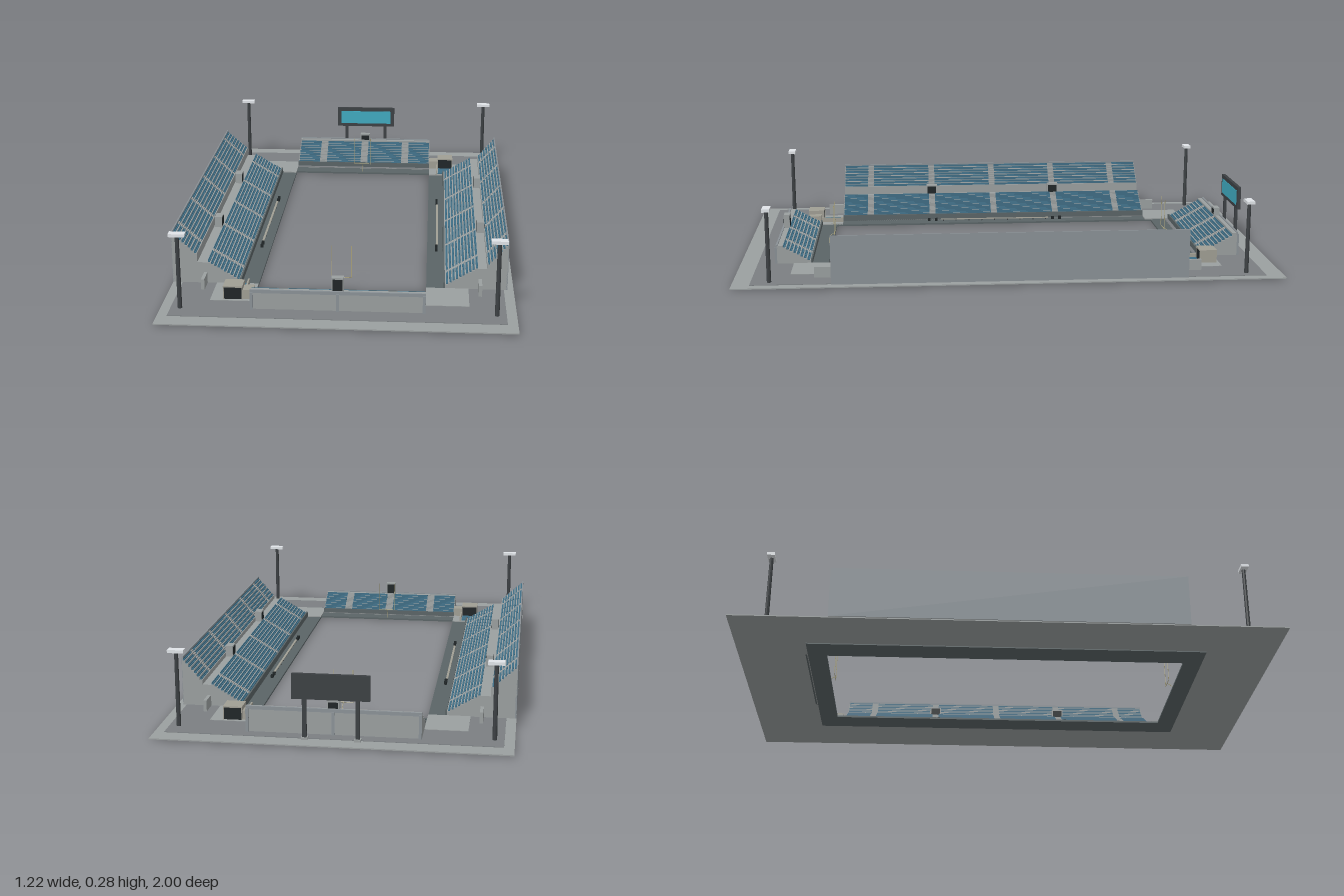
import * as THREE from 'three';
import { mergeGeometries } from 'three/addons/utils/BufferGeometryUtils.js';

const mat = (color) => new THREE.MeshStandardMaterial({ color, flatShading: true });
const M = {
  concrete: mat(0x9a9f9f), wall: mat(0x8a9196), paving: mat(0x7b7f82), track: mat(0x5a6466),
  dark: mat(0x3c4043), seat: mat(0x3f6d85), opening: mat(0x1f2527), beige: mat(0xa09e94),
  lamp: mat(0xe0e4e8), screen: mat(0x3fa9bf), post: mat(0xb0a880),
};

function mesh(parent, name, geometry, material) {
  const m = new THREE.Mesh(geometry, material);
  m.name = name;
  parent.add(m);
  return m;
}

// Box given by its minimum and maximum on each axis
function boxGeo(x0, x1, y0, y1, z0, z1) {
  return new THREE.BoxGeometry(x1 - x0, y1 - y0, z1 - z0)
    .translate((x0 + x1) / 2, (y0 + y1) / 2, (z0 + z1) / 2);
}
const box = (parent, name, material, ...b) => mesh(parent, name, boxGeo(...b), material);

// Flat rectangular ring around the pitch
function ring(parent, name, material, ox, oz, ix, iz, y0, y1) {
  const rect = (C, a, b) => {
    const p = new C();
    p.moveTo(-a, -b).lineTo(a, -b).lineTo(a, b).lineTo(-a, b).closePath();
    return p;
  };
  const s = rect(THREE.Shape, ox, oz);
  s.holes.push(rect(THREE.Path, ix, iz));
  const g = new THREE.ExtrudeGeometry(s, { depth: y1 - y0, bevelEnabled: false });
  mesh(parent, name, g.rotateX(-Math.PI / 2).translate(0, y0, 0), material);
}

// Stand rising towards +x, running along z. Each tier is {x0, x1, y0, y1, rows}.
function stand(parent, name, { tiers, back, backTop, half, aisles, aisleWidth }, angle) {
  const g = new THREE.Group();
  g.name = name;
  g.rotation.y = angle;
  parent.add(g);

  const floor = 0.01;
  const s = new THREE.Shape();
  s.moveTo(tiers[0].x0, floor);
  const seats = [], steps = [];
  const edges = [-half, ...aisles, half];
  for (const t of tiers) {
    const dx = (t.x1 - t.x0) / t.rows, dy = (t.y1 - t.y0) / t.rows;
    for (let r = 0; r < t.rows; r++) {
      const x = t.x0 + r * dx, y = t.y0 + r * dy;
      s.lineTo(x, y).lineTo(x + dx, y);
      // seat pan and backrest for each block between aisles
      for (let i = 0; i + 1 < edges.length; i++) {
        const a = edges[i] + (i ? aisleWidth / 2 : 0.003);
        const b = edges[i + 1] - (i + 2 < edges.length ? aisleWidth / 2 : 0.003);
        seats.push(boxGeo(x + dx * 0.35, x + dx * 0.85, y, y + 0.0035, a, b));
        seats.push(boxGeo(x + dx * 0.75, x + dx * 0.95, y, y + 0.0075, a, b));
      }
      // half steps in the aisles
      for (const c of aisles) {
        steps.push(boxGeo(x + dx / 2, x + dx, y, y + dy / 2, c - aisleWidth / 2, c + aisleWidth / 2));
      }
    }
    if (t.walk) s.lineTo(t.x1, t.walk);
    if (t.walk && t.walkTo) s.lineTo(t.walkTo, t.walk);
  }
  s.lineTo(tiers.at(-1).x1, backTop).lineTo(back, backTop).lineTo(back, floor).closePath();
  const body = new THREE.ExtrudeGeometry(s, { depth: 2 * half, bevelEnabled: false });
  mesh(g, 'terraces', body.translate(0, 0, -half), M.concrete);
  mesh(g, 'seats', mergeGeometries(seats), M.seat);
  mesh(g, 'aisleSteps', mergeGeometries(steps), M.concrete);
  // wall at the front of the lowest row
  const f = tiers[0];
  box(g, 'frontWall', M.track, f.x0 - 0.006, f.x0, 0.004, f.y0 + 0.006, -half, half);
  return g;
}

// Small cabin with a dark opening on the side facing the pitch
function cabin(g, x0, x1, y0, y1, z, w) {
  box(g, 'cabin', M.concrete, x0, x1, y0, y1, z - w, z + w);
  box(g, 'cabinOpening', M.opening, x0 - 0.001, x1 + 0.001, y0 + 0.005, y1 - 0.006, z - w * 0.8, z + w * 0.8);
}

function sideStand(parent, name, upper, back, angle) {
  const half = 0.645;
  const lower = { x0: 0.366, x1: 0.482, y0: 0.026, y1: 0.095, rows: 10, walk: 0.088, walkTo: upper.x0 };
  const g = stand(parent, name, {
    tiers: [lower, upper], back, backTop: upper.y1, half,
    aisles: [-0.53, -0.265, 0, 0.265, 0.53], aisleWidth: 0.026,
  }, angle);
  box(g, 'backWall', M.wall, back - 0.004, back + 0.001, 0.01, upper.y1 + 0.003, -half, half);
  for (const s of [-1, 1]) {
    cabin(g, 0.487, 0.514, 0.088, 0.13, s * 0.265, 0.023);
    box(g, 'endWall', M.concrete, 0.484, 0.496, 0.01, 0.05, s * 0.678 - 0.033, s * 0.678 + 0.033);
    // technical area posts beside the bench
    for (const z of [0.25, 0.28]) box(g, 'sidelineCabinet', M.opening, 0.33, 0.34, 0.008, 0.02, s * z - 0.006, s * z + 0.006);
  }
  box(g, 'benchSeat', M.beige, 0.333, 0.341, 0.013, 0.016, -0.23, 0.23);
  for (let i = -4; i <= 4; i++) box(g, 'benchLeg', M.dark, 0.334, 0.34, 0.007, 0.013, i * 0.055 - 0.002, i * 0.055 + 0.002);
}

function endStand(parent, name, tier, back, backTop, angle) {
  const g = stand(parent, name, {
    tiers: [tier], back, backTop, half: 0.3, aisles: [-0.187, 0, 0.187], aisleWidth: 0.032,
  }, angle);
  cabin(g, back - 0.025, back - 0.002, backTop, 0.13, 0, 0.021);
  // buttresses on the rear wall
  for (const z of [-0.295, 0, 0.295]) box(g, 'buttress', M.wall, back, back + 0.008, 0.01, backTop - 0.005, z - 0.005, z + 0.005);
  box(g, 'parapet', M.wall, back - 0.003, back + 0.004, backTop - 0.008, backTop + 0.004, -0.3, 0.3);
}

// Corner entrance: roofed tunnel, ramp and a low block beside the end stand
function cornerTunnel(parent, angle) {
  const g = new THREE.Group();
  g.name = 'cornerTunnel';
  g.rotation.y = angle;
  parent.add(g);
  box(g, 'tunnelRoof', M.beige, -0.405, -0.337, 0.055, 0.06, 0.725, 0.79);
  for (const x of [-0.405, -0.34]) box(g, 'tunnelWall', M.beige, x, x + 0.003, 0.01, 0.055, 0.725, 0.79);
  box(g, 'tunnelInside', M.opening, -0.402, -0.34, 0.01, 0.055, 0.727, 0.788);
  box(g, 'tunnelRamp', M.seat, -0.4, -0.34, 0.01, 0.016, 0.655, 0.725);
  box(g, 'sideBlock', M.beige, -0.337, -0.3, 0.01, 0.045, 0.735, 0.785);
  box(g, 'sideWall', M.beige, -0.337, -0.331, 0.01, 0.03, 0.645, 0.735);
}

function floodlight(parent, x, z) {
  const g = new THREE.Group();
  g.name = 'floodlight';
  g.position.set(x, 0, z);
  parent.add(g);
  mesh(g, 'mast', new THREE.CylinderGeometry(0.007, 0.008, 0.267, 8).translate(0, 0.1425, 0), M.dark);
  box(g, 'lampHead', M.lamp, -0.028, 0.028, 0.273, 0.284, -0.014, 0.014);
}

function goal(parent, side) {
  const g = new THREE.Group();
  g.name = 'goal';
  g.rotation.y = side > 0 ? 0 : Math.PI;
  parent.add(g);
  const bar = (name, ...p) => mesh(g, name, new THREE.TubeGeometry(
    new THREE.CatmullRomCurve3(p.map((q) => new THREE.Vector3(...q))), 8, 0.0012, 5), M.post);
  bar('stem', [0, 0.006, 0.685], [0, 0.035, 0.682], [0, 0.05, 0.662]);
  bar('crossbar', [-0.035, 0.05, 0.662], [0.035, 0.05, 0.662]);
  for (const x of [-0.035, 0.035]) bar('upright', [x, 0.05, 0.662], [x, 0.17, 0.662]);
}

export function createModel() {
  const model = new THREE.Group();
  model.name = 'stadium';

  // ground
  ring(model, 'baseSlab', M.concrete, 0.61, 1, 0.36, 0.73, 0.004, 0.008);
  ring(model, 'concourse', M.paving, 0.575, 0.935, 0.36, 0.73, 0.008, 0.01);
  ring(model, 'pitchSurround', M.track, 0.4, 0.74, 0.3, 0.67, 0, 0.007);
  for (const sx of [-1, 1]) for (const sz of [-1, 1]) {
    box(model, 'cornerPaving', M.concrete, sx * 0.375 - 0.075, sx * 0.375 + 0.075, 0.006, 0.0115,
      sz * 0.7225 - 0.0775, sz * 0.7225 + 0.0775);
    floodlight(model, sx * 0.542, sz * 0.868);
  }

  // stands
  sideStand(model, 'leftStand', { x0: 0.514, x1: 0.585, y0: 0.105, y1: 0.187, rows: 7 }, 0.587, 0);
  sideStand(model, 'rightStand', { x0: 0.519, x1: 0.606, y0: 0.122, y1: 0.2, rows: 8 }, 0.609, Math.PI);
  endStand(model, 'frontStand', { x0: 0.736, x1: 0.84, y0: 0.022, y1: 0.078, rows: 8 }, 0.862, 0.078, -Math.PI / 2);
  endStand(model, 'rearStand', { x0: 0.75, x1: 0.873, y0: 0.024, y1: 0.092, rows: 9 }, 0.892, 0.098, Math.PI / 2);

  for (const a of [0, Math.PI]) cornerTunnel(model, a);
  for (const s of [-1, 1]) goal(model, s);

  // scoreboard
  const board = new THREE.Group();
  board.name = 'scoreboard';
  model.add(board);
  box(board, 'boardFrame', M.dark, -0.132, 0.132, 0.15, 0.238, -0.945, -0.932);
  box(board, 'boardScreen', M.screen, -0.115, 0.115, 0.164, 0.222, -0.934, -0.93);
  for (const x of [-0.09, 0.09]) {
    box(board, 'boardLeg', M.dark, x - 0.007, x + 0.007, 0.008, 0.15, -0.944, -0.933);
    box(board, 'legFooting', M.concrete, x - 0.011, x + 0.011, 0.008, 0.016, -0.949, -0.928);
  }
  return model;
}
